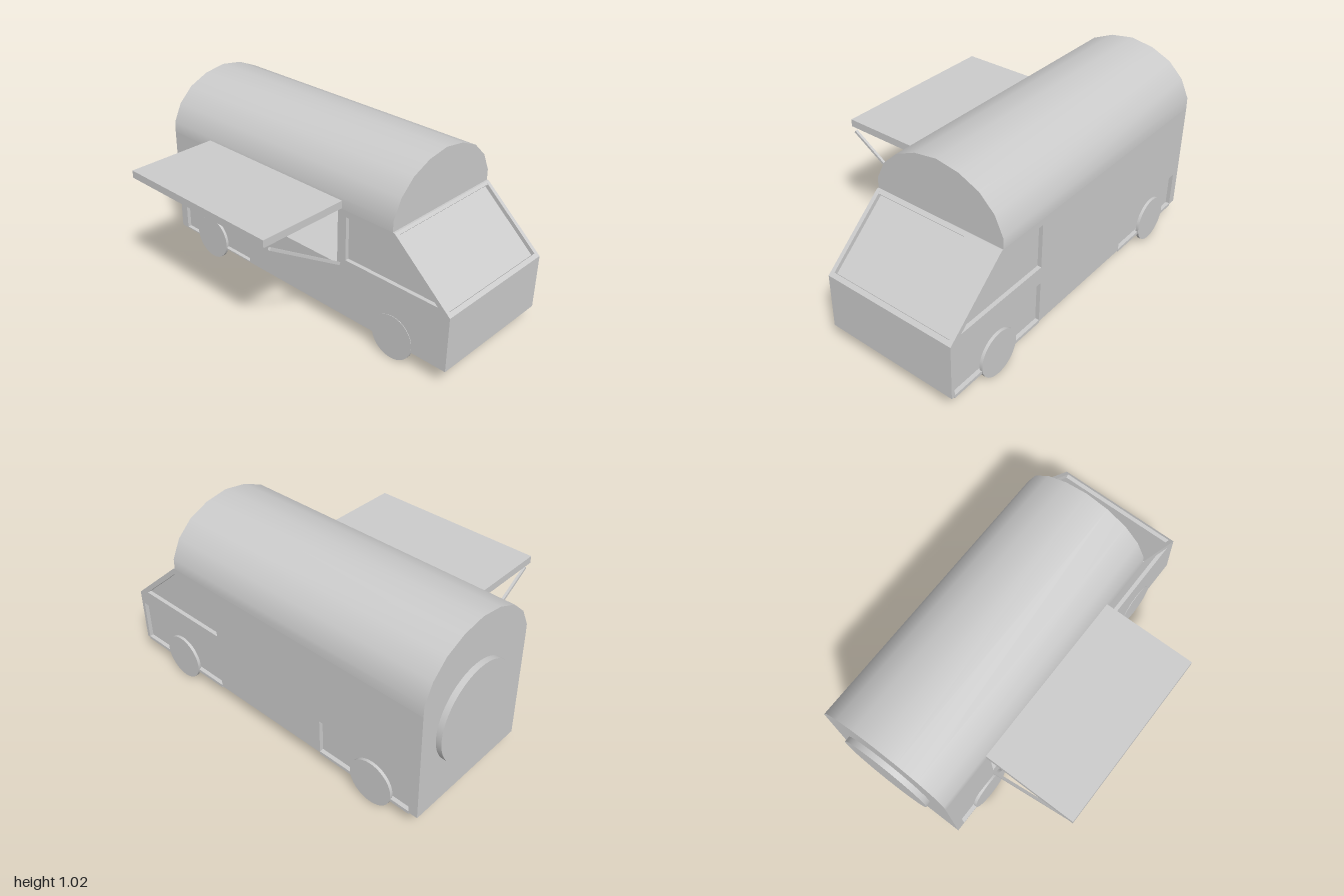
import * as THREE from 'three';
import { toCreasedNormals } from 'three/addons/utils/BufferGeometryUtils.js';

const grey = new THREE.MeshStandardMaterial({ color: 0xcccccc });
const LEFT = -0.12, RIGHT = 0.63, SKIN = 0.022;

const toVectors = (points) => points.map(([z, y]) => new THREE.Vector2(-z, y));

// Extrude a (z, y) side profile with holes from x0 to x1
function sideSlab(points, holes, x0, x1) {
  const shape = new THREE.Shape(toVectors(points));
  holes.forEach((h) => shape.holes.push(new THREE.Path(toVectors(h))));
  const geo = new THREE.ExtrudeGeometry(shape, { depth: x1 - x0, bevelEnabled: false });
  return geo.rotateY(Math.PI / 2).translate(x0, 0, 0);
}

const rect = (z0, z1, y0, y1) => [[z0, y0], [z1, y0], [z1, y1], [z0, y1]];

export function createModel() {
  const group = new THREE.Group();
  function add(name, geo, x = 0, y = 0, z = 0) {
    const mesh = new THREE.Mesh(geo, grey);
    mesh.name = name;
    mesh.position.set(x, y, z);
    group.add(mesh);
    return mesh;
  }
  function box(name, x0, x1, y0, y1, z0, z1) {
    return add(name, new THREE.BoxGeometry(x1 - x0, y1 - y0, z1 - z0),
      (x0 + x1) / 2, (y0 + y1) / 2, (z0 + z1) / 2);
  }

  // Side profiles: outer skin, and core with the windscreen set back
  const outer = [[1, 0.095], [1, 0.403], [0.655, 0.71], [-0.97, 0.71], [-0.97, 0.095]];
  const core = [[1, 0.095], [1, 0.403], [0.981, 0.42], [0.966, 0.404],
    [0.653, 0.682], [0.668, 0.698], [0.655, 0.71], [-0.97, 0.71], [-0.97, 0.095]];

  // Recesses and openings
  const sideWindow = [[0.93, 0.43], [0.355, 0.43], [0.355, 0.675], [0.655, 0.675]];
  const frontArch = rect(0.98, 0.355, 0.102, 0.335);
  const rearArch = rect(-0.365, -0.92, 0.102, 0.3);
  const hatch = rect(0.3, -0.64, 0.39, 0.7);

  // Body in layers from left to right
  add('leftSide', sideSlab(outer, [sideWindow, rearArch, hatch], LEFT, LEFT + SKIN));
  add('servingBay', sideSlab(core, [hatch], LEFT + SKIN, 0.3));
  add('bodyCore', sideSlab(core, [], 0.3, RIGHT - SKIN));
  add('rightSide', sideSlab(outer, [sideWindow, frontArch, rearArch], RIGHT - SKIN, RIGHT));

  // Sills under the right wheel recesses
  box('frontArchSill', 0.585, RIGHT, 0.085, 0.098, 0.355, 0.98);
  box('rearArchSill', 0.585, RIGHT, 0.085, 0.098, -0.92, -0.365);

  // Barrel roof
  const half = [[0.375, 0.71], [0.373, 0.77], [0.325, 0.87], [0.241, 0.95], [0.128, 1.0]];
  const arc = [...half, [0, 1.02], ...half.map(([x, y]) => [-x, y]).reverse()];
  const roofShape = new THREE.Shape(arc.map(([x, y]) => new THREE.Vector2(x, y)));
  const roofGeo = new THREE.ExtrudeGeometry(roofShape, { depth: 1.615, bevelEnabled: false });
  add('roof', toCreasedNormals(roofGeo, 0.7), 0.255, 0, -0.97);

  // Wheels
  for (const [side, x] of [['Left', -0.1145], ['Right', 0.6265]]) {
    for (const [end, z] of [['front', 0.67], ['rear', -0.69]]) {
      const wheel = new THREE.CylinderGeometry(0.125, 0.125, 0.016, 48).rotateZ(Math.PI / 2);
      add(`${end}${side}Wheel`, wheel, x, 0.125, z);
    }
  }

  // Spare wheel on the back
  const spare = new THREE.CylinderGeometry(0.26, 0.26, 0.03, 64).rotateX(Math.PI / 2);
  add('spareWheel', spare, 0.27, 0.518, -0.985);

  // Awning flap over the serving hatch with its two struts
  box('awning', -0.635, -0.115, 0.713, 0.754, -0.66, 0.325);
  const dx = 0.465, dy = 0.29;
  for (const z of [0.329, -0.65]) {
    const strut = add('awningStrut',
      new THREE.BoxGeometry(Math.hypot(dx, dy), 0.014, 0.014), -0.37, 0.553, z);
    strut.rotation.z = -Math.atan2(dy, dx);
  }
  return group;
}
